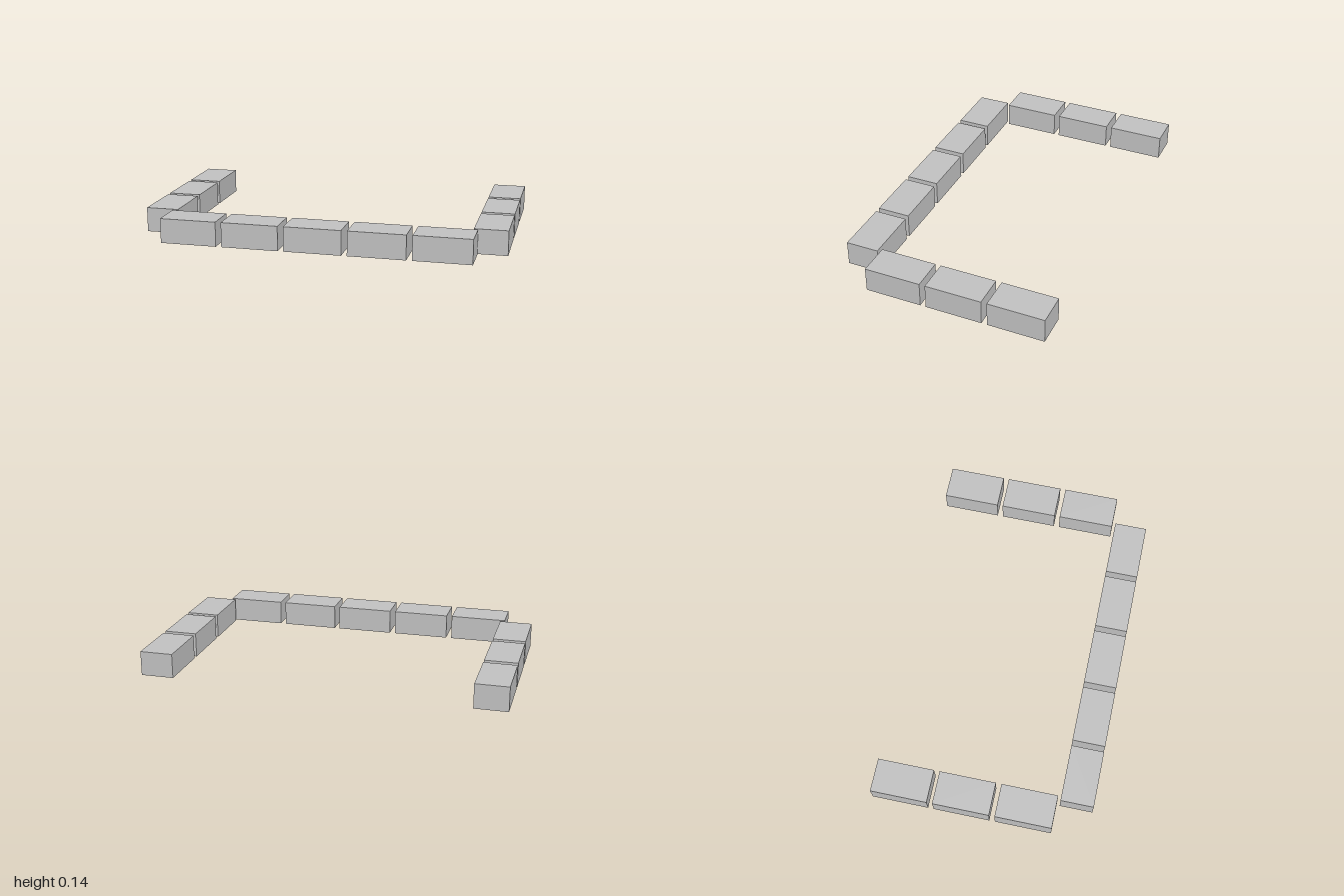
import * as THREE from 'three';

export function createModel() {
  const model = new THREE.Group();
  model.name = 'blockBarrier';

  const concrete = new THREE.MeshStandardMaterial({ color: 0xc0c0c0 });
  concrete.name = 'concrete grey';

  // One shared block shape, long axis along x
  const length = 0.312, height = 0.136, width = 0.182, pitch = 0.343;
  const block = new THREE.BoxGeometry(length, height, width);

  function addBlock(parent, name, x, z, turned) {
    const mesh = new THREE.Mesh(block, concrete);
    mesh.name = name;
    mesh.position.set(x, height / 2, z);
    if (turned) mesh.rotation.y = Math.PI / 2;
    parent.add(mesh);
  }

  // Front row of five blocks
  const frontRow = new THREE.Group();
  frontRow.name = 'frontRow';
  for (let i = 0; i < 5; i++) {
    addBlock(frontRow, `frontBlock${i + 1}`, (i - 2) * pitch, 0.508, false);
  }
  model.add(frontRow);

  // Mirrored side rows of three blocks running to the back
  for (const [side, sign] of [['left', 1], ['right', -1]]) {
    const row = new THREE.Group();
    row.name = `${side}Row`;
    for (let i = 0; i < 3; i++) {
      addBlock(row, `${side}Block${i + 1}`, sign * (1 - width / 2), 0.244 - i * pitch, true);
    }
    model.add(row);
  }

  return model;
}
